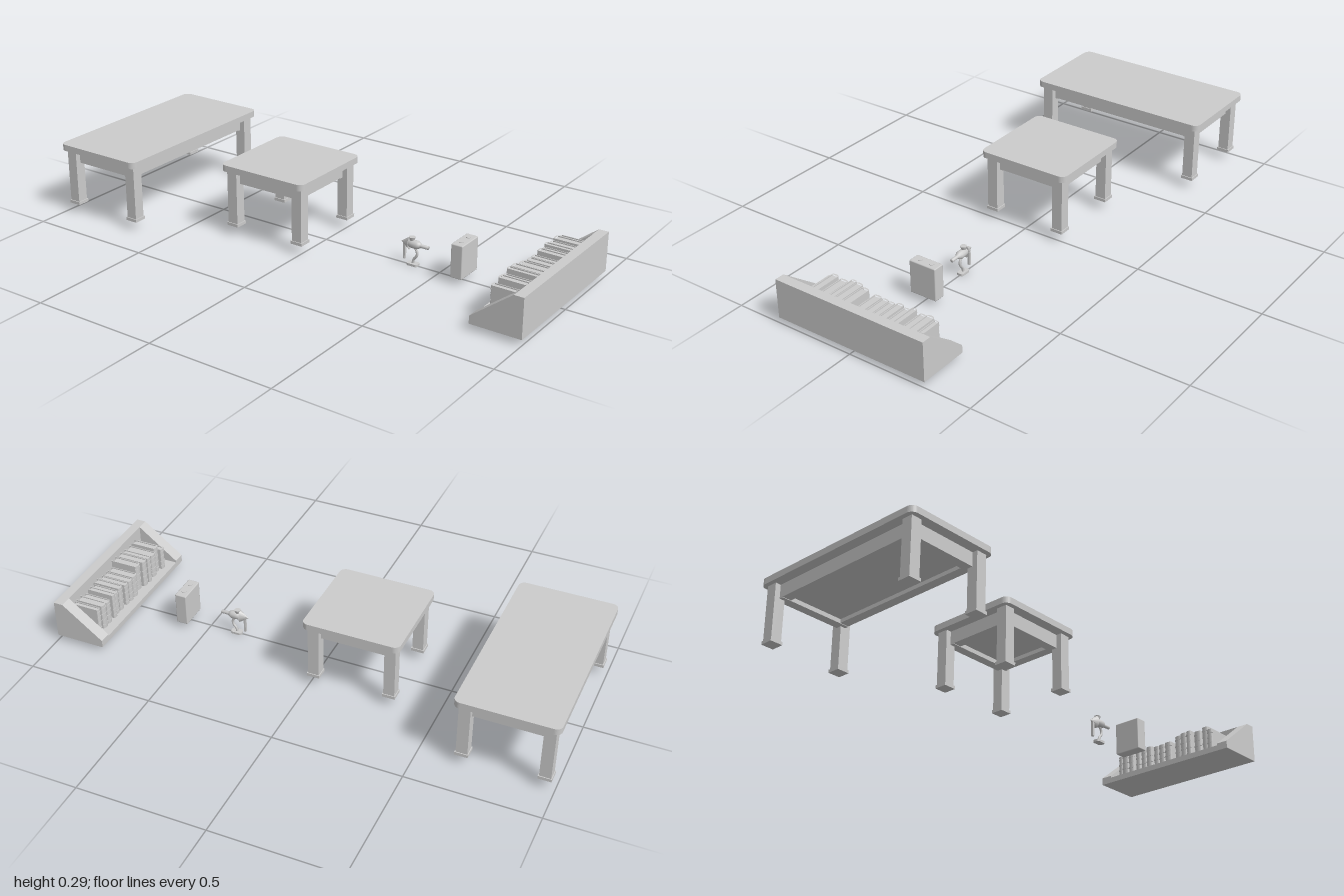
import * as THREE from 'three';
import { RoundedBoxGeometry } from 'three/addons/geometries/RoundedBoxGeometry.js';

const material = new THREE.MeshStandardMaterial({ color: 0xcccccc });

function add(parent, name, geometry, x = 0, y = 0, z = 0) {
  const mesh = new THREE.Mesh(geometry, material);
  mesh.name = name;
  mesh.position.set(x, y, z);
  parent.add(mesh);
  return mesh;
}

const box = (w, h, d) => new THREE.BoxGeometry(w, h, d);

// Rounded rectangle in the XZ plane, extruded upward from y = 0
function roundedSlab(w, h, d, r) {
  const s = new THREE.Shape();
  const a = w / 2, b = d / 2;
  s.moveTo(-a + r, -b);
  s.lineTo(a - r, -b);
  s.absarc(a - r, -b + r, r, -Math.PI / 2, 0);
  s.lineTo(a, b - r);
  s.absarc(a - r, b - r, r, 0, Math.PI / 2);
  s.lineTo(-a + r, b);
  s.absarc(-a + r, b - r, r, Math.PI / 2, Math.PI);
  s.lineTo(-a, -b + r);
  s.absarc(-a + r, -b + r, r, Math.PI, Math.PI * 1.5);
  return new THREE.ExtrudeGeometry(s, { depth: h, bevelEnabled: false, curveSegments: 5 }).rotateX(-Math.PI / 2);
}

function createTable(name, w, d) {
  const table = new THREE.Group();
  table.name = name;
  add(table, 'tableTop', roundedSlab(w, 0.025, d, 0.025), 0, 0.262, 0);
  const lx = w / 2 - 0.039, lz = d / 2 - 0.041;
  for (const sx of [-1, 1]) {
    for (const sz of [-1, 1]) {
      add(table, 'leg', box(0.043, 0.217, 0.043), sx * lx, 0.1535, sz * lz);
      add(table, 'foot', box(0.05, 0.012, 0.05), sx * lx, 0.043, sz * lz);
    }
  }
  // Aprons between the legs, set back from the leg faces
  for (const s of [-1, 1]) {
    add(table, 'sideApron', box(0.037, 0.052, 2 * lz), s * (lx - 0.0185), 0.236, 0);
    add(table, 'endApron', box(2 * lx, 0.054, 0.037), 0, 0.235, s * (lz - 0.0185));
  }
  // Recessed panel closing the frame underneath
  add(table, 'underPanel', box(2 * lx - 0.04, 0.037, 2 * lz - 0.04), 0, 0.2435, 0);
  return table;
}

// Small hand-cranked grinder on a curved stand
function createGrinder() {
  const g = new THREE.Group();
  g.name = 'handGrinder';
  add(g, 'base', roundedSlab(0.045, 0.009, 0.028, 0.009), 0.387, 0, 0);
  const path = new THREE.CatmullRomCurve3([[0.386, 0.006], [0.389, 0.022], [0.402, 0.04], [0.403, 0.055], [0.392, 0.075]]
    .map(([x, y]) => new THREE.Vector3(x, y, 0)));
  add(g, 'stem', new THREE.TubeGeometry(path, 14, 0.005, 8));
  const profile = [[0, 0.348], [0.006, 0.348], [0.007, 0.362], [0.014, 0.37], [0.016, 0.385], [0.016, 0.405],
    [0.011, 0.415], [0.007, 0.42], [0.007, 0.45], [0, 0.45]].map(([r, t]) => new THREE.Vector2(r, t));
  const body = add(g, 'body', new THREE.LatheGeometry(profile, 12), 0, 0.084, 0);
  body.rotation.z = -Math.PI / 2;
  const collar = add(g, 'collar', new THREE.ConeGeometry(0.026, 0.036, 10), 0.353, 0.084, 0);
  collar.rotation.z = Math.PI / 2;
  collar.scale.z = 0.65;
  add(g, 'hopper', new THREE.CylinderGeometry(0.013, 0.007, 0.018, 10), 0.381, 0.102, 0);
  add(g, 'crank', box(0.008, 0.072, 0.01), 0.35, 0.054, 0);
  return g;
}

// Upright case with slightly softened edges and two raised lids
function createCase() {
  const g = new THREE.Group();
  g.name = 'uprightCase';
  add(g, 'shell', new RoundedBoxGeometry(0.047, 0.131, 0.113, 1, 0.004), 0.596, 0.0885, -0.004);
  for (const s of [-1, 1]) {
    add(g, 'lid', new THREE.CylinderGeometry(0.009, 0.009, 0.003, 12), 0.596, 0.1545, -0.004 + s * 0.025);
  }
  return g;
}

// Book with a rounded, banded spine facing -x
function createBook(thickness, height, depth) {
  const book = new THREE.Group();
  book.name = 'book';
  const t = thickness / 2;
  for (const s of [-1, 1]) add(book, 'cover', box(depth, height, 0.003), depth / 2, height / 2, s * (t - 0.0015));
  add(book, 'pages', box(depth - 0.006, height - 0.008, thickness - 0.004), depth / 2 - 0.003, height / 2, 0);
  const spine = (r, h) => new THREE.CylinderGeometry(r, r, h, 8, 1, false, Math.PI, Math.PI).scale(0.5, 1, 1);
  add(book, 'spine', spine(t, height), 0, height / 2, 0);
  for (const f of [0.14, 0.38, 0.62, 0.86]) add(book, 'spineBand', spine(t + 0.002, 0.006), 0, height * f, 0);
  return book;
}

function createBookRack() {
  const rack = new THREE.Group();
  rack.name = 'bookRack';
  const side = new THREE.Shape([[0.802, 0.022], [0.962, 0.022], [0.962, 0.175], [0.802, 0.052]]
    .map(p => new THREE.Vector2(...p)));
  const panel = new THREE.ExtrudeGeometry(side, { depth: 0.047, bevelEnabled: false });
  add(rack, 'sidePanel', panel, 0, 0, 0.27);
  add(rack, 'sidePanel', panel, 0, 0, -0.317);
  add(rack, 'backPanel', box(0.038, 0.153, 0.634), 0.981, 0.0985, 0);
  add(rack, 'floor', box(0.16, 0.022, 0.54), 0.882, 0.033, 0);
  // Row of books with varied sizes and small gaps
  let seed = 11;
  const rand = () => (seed = (seed * 16807) % 2147483647) / 2147483647;
  let z = -0.26;
  for (let i = 0; z < 0.235; i++) {
    const t = 0.02 + 0.013 * rand();
    const depth = 0.1 + 0.016 * rand();
    const book = createBook(t, 0.094 + 0.022 * rand(), depth);
    book.position.set(0.957 - depth - 0.012 * rand(), 0.044, z + t / 2);
    rack.add(book);
    z += t + (i % 3 === 2 ? 0.014 : 0.003);
  }
  return rack;
}

export function createModel() {
  const model = new THREE.Group();
  model.name = 'libraryFurniture';
  const longTable = createTable('longTable', 0.378, 0.755);
  longTable.position.x = -0.811;
  const squareTable = createTable('squareTable', 0.378, 0.378);
  squareTable.position.x = -0.165;
  model.add(longTable, squareTable, createGrinder(), createCase(), createBookRack());
  return model;
}
